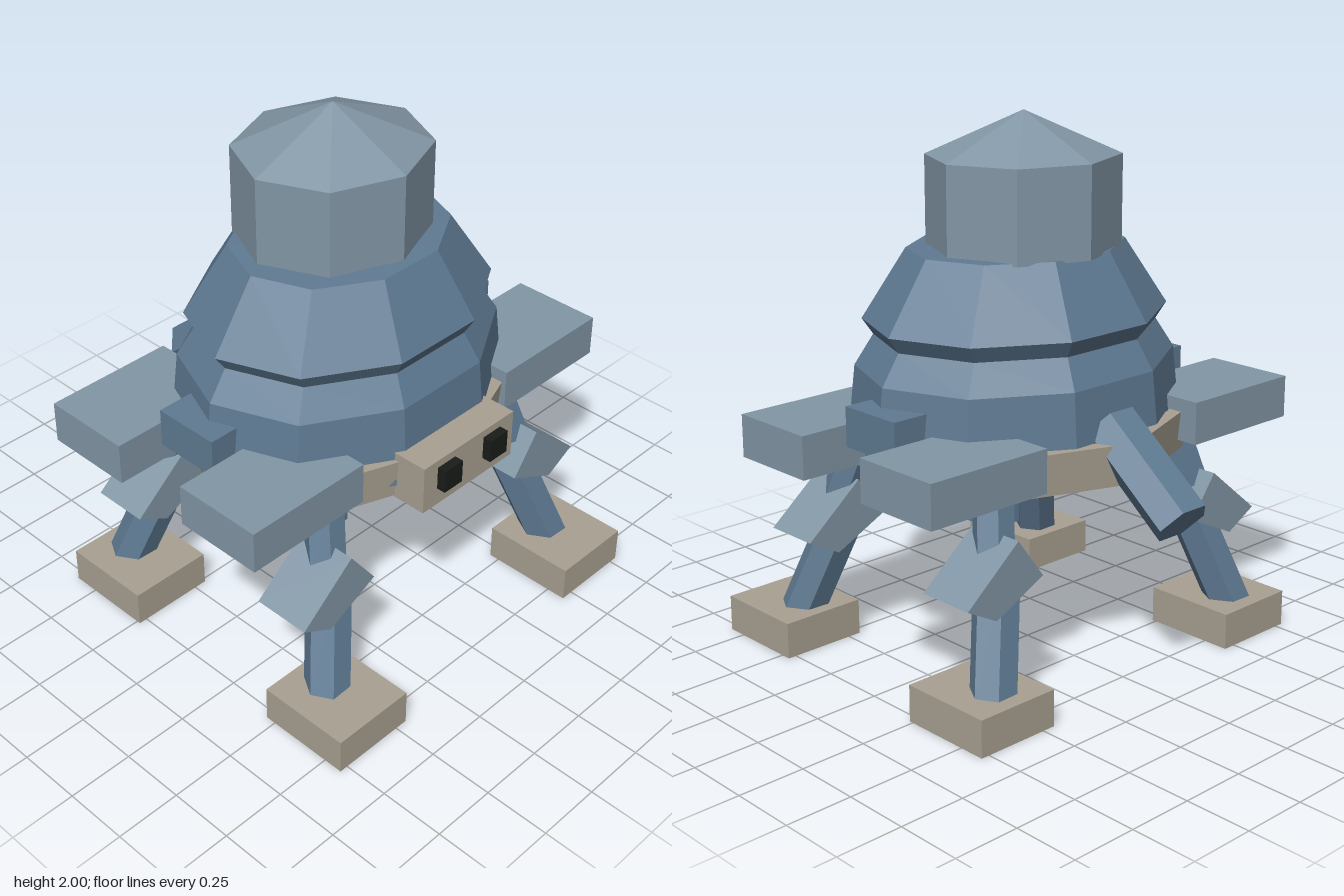
import * as THREE from 'three';

const material = (color) => new THREE.MeshStandardMaterial({ color, flatShading: true });

export function createModel() {
  const root = new THREE.Group();
  const blue = material(0x5f7a92);
  const pale = material(0x8296a5);
  const tan = material(0xa9a192);
  const black = material(0x1a1c1a);

  const add = (name, geometry, mat) => {
    const mesh = new THREE.Mesh(geometry, mat);
    mesh.name = name;
    root.add(mesh);
    return mesh;
  };

  // Box given by its low and high limits on each axis
  const box = (name, [x0, x1], [y0, y1], [z0, z1], mat) => {
    const mesh = add(name, new THREE.BoxGeometry(Math.abs(x1 - x0), y1 - y0, z1 - z0), mat);
    mesh.position.set((x0 + x1) / 2, (y0 + y1) / 2, (z0 + z1) / 2);
    return mesh;
  };

  // Faceted turned shape, squashed in depth, with a corner on the x axis
  const turned = (name, profile, sides, depth, z, mat) => {
    const points = profile.map(([r, y]) => new THREE.Vector2(r, y));
    const geometry = new THREE.LatheGeometry(points, sides, Math.PI / 2);
    geometry.scale(1, 1, depth);
    return add(name, geometry.translate(0, 0, z), mat);
  };

  // Hexagonal strut between two points
  const strut = (name, from, to, radius) => {
    const a = new THREE.Vector3(...from);
    const b = new THREE.Vector3(...to);
    const geometry = new THREE.CylinderGeometry(radius, radius, a.distanceTo(b), 6, 1, false, Math.PI / 2);
    const mesh = add(name, geometry, blue);
    mesh.position.copy(a).add(b).multiplyScalar(0.5);
    mesh.quaternion.setFromUnitVectors(new THREE.Vector3(0, 1, 0), b.clone().sub(a).normalize());
    return mesh;
  };

  // Body: ten-sided dome with a grooved waist
  turned('dome', [[0, 0.8], [0.67, 0.8], [0.635, 1.1], [0.56, 1.21], [0.603, 1.27], [0.43, 1.52], [0, 1.54]],
    10, 0.82, 0.057, blue);

  // Eight-sided turret with a pointed roof
  turned('turret', [[0, 1.51], [0.365, 1.51], [0.365, 1.845], [0, 2]], 8, 0.925, 0.02, pale);

  // Hollow belt around the bottom of the dome
  turned('belt', [[0.62, 0.75], [0.66, 0.75], [0.68, 0.905], [0.62, 0.905], [0.62, 0.75]],
    8, 0.89, 0.05, tan);

  // Face block with two eyes
  box('faceBlock', [-0.235, 0.235], [0.745, 0.935], [0.5, 0.685], tan);
  for (const s of [-1, 1]) {
    box('eye', [s * 0.075, s * 0.165], [0.815, 0.905], [0.66, 0.72], black);
    box('sideBlock', [s * 0.5, s * 0.72], [0.885, 1.032], [-0.108, 0.155], blue);
  }

  // Tail tube sloping down behind
  strut('tail', [0, 0.94, -0.42], [0, 0.665, -0.765], 0.112).scale.z = 0.86;

  // Four legs; depth positions differ slightly between front and back
  const legRows = [
    { dir: 1, foot: [0.46, 0.825], plate: [0.18, 0.535], knee: [0.375, 0.6], ankle: 0.6, joint: 0.48, top: 0.4, hip: [0.31, 0.44] },
    { dir: -1, foot: [-0.602, -0.235], plate: [-0.49, -0.133], knee: [-0.48, -0.255], ankle: -0.48, joint: -0.36, top: -0.29, hip: [-0.33, -0.2] },
  ];
  for (const row of legRows) {
    for (const s of [-1, 1]) {
      box('foot', [s * 0.45, s * 0.783], [0, 0.138], row.foot, tan);
      box('shoulderPlate', [s * 0.377, s * 0.89], [0.795, 0.955], row.plate, pale);
      box('hip', [s * 0.355, s * 0.48], [0.65, 0.85], row.hip, blue);
      strut('lowerLeg', [s * 0.62, 0.09, row.ankle], [s * 0.49, 0.5, row.joint], 0.085);
      strut('upperLeg', [s * 0.52, 0.5, row.joint + row.dir * 0.02], [s * 0.44, 0.84, row.top], 0.075);

      // Wedge-shaped knee guard
      const outline = [[0.73, 0.465], [0.5, 0.655], [0.385, 0.5], [0.6, 0.395]];
      const shape = new THREE.Shape(outline.map(([x, y]) => new THREE.Vector2(s * x, y)));
      const guard = new THREE.ExtrudeGeometry(shape, { depth: row.knee[1] - row.knee[0], bevelEnabled: false });
      add('kneeGuard', guard.translate(0, 0, row.knee[0]), pale);
    }
  }

  return root;
}
